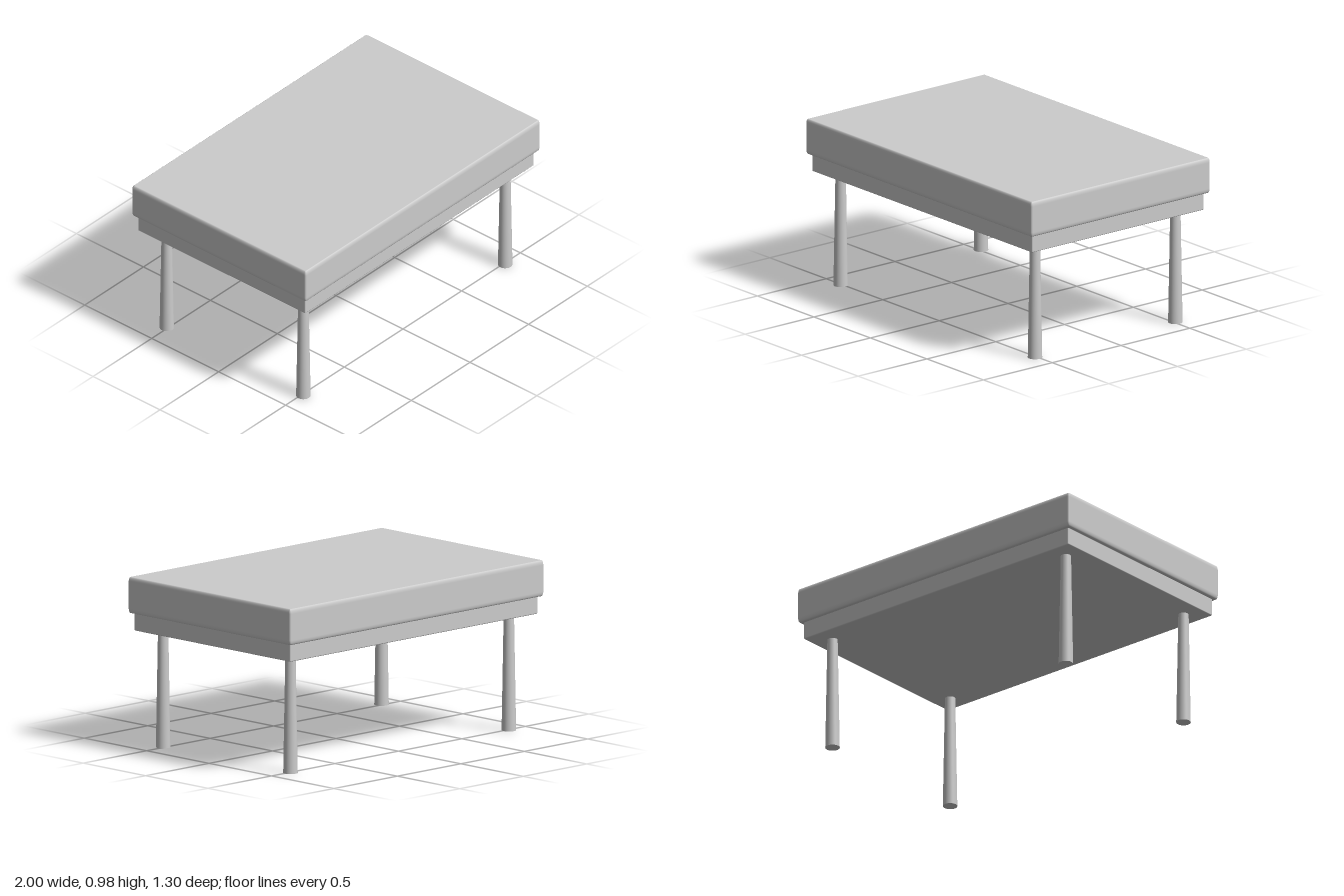
import * as THREE from 'three';
import { RoundedBoxGeometry } from 'three/addons/geometries/RoundedBoxGeometry.js';

export function createModel() {
  const model = new THREE.Group();
  model.name = 'ottoman';
  const material = new THREE.MeshStandardMaterial({ color: 0xcccccc });

  function add(name, geometry, x, y, z) {
    const mesh = new THREE.Mesh(geometry, material);
    mesh.name = name;
    mesh.position.set(x, y, z);
    model.add(mesh);
  }

  // Cushion: edges rounded more in height than in width
  const stretch = 2.5;
  const cushion = new RoundedBoxGeometry(2, 0.207 / stretch, 1.3, 4, 0.011);
  cushion.scale(1, stretch, 1);
  add('cushion', cushion, 0, 0.8715, 0);

  // Base frame, slightly inset under the cushion
  add('baseFrame', new RoundedBoxGeometry(1.95, 0.115, 1.25, 3, 0.006), 0, 0.7245, 0);

  // Round legs, widening towards the floor
  const legHeight = 0.68;
  const leg = new THREE.CylinderGeometry(0.029, 0.041, legHeight, 32);
  for (const [side, x] of [['Left', 0.86], ['Right', -0.86]]) {
    for (const [end, z] of [['front', 0.51], ['back', -0.51]]) {
      add(`${end}${side}Leg`, leg, x, legHeight / 2, z);
    }
  }

  return model;
}
